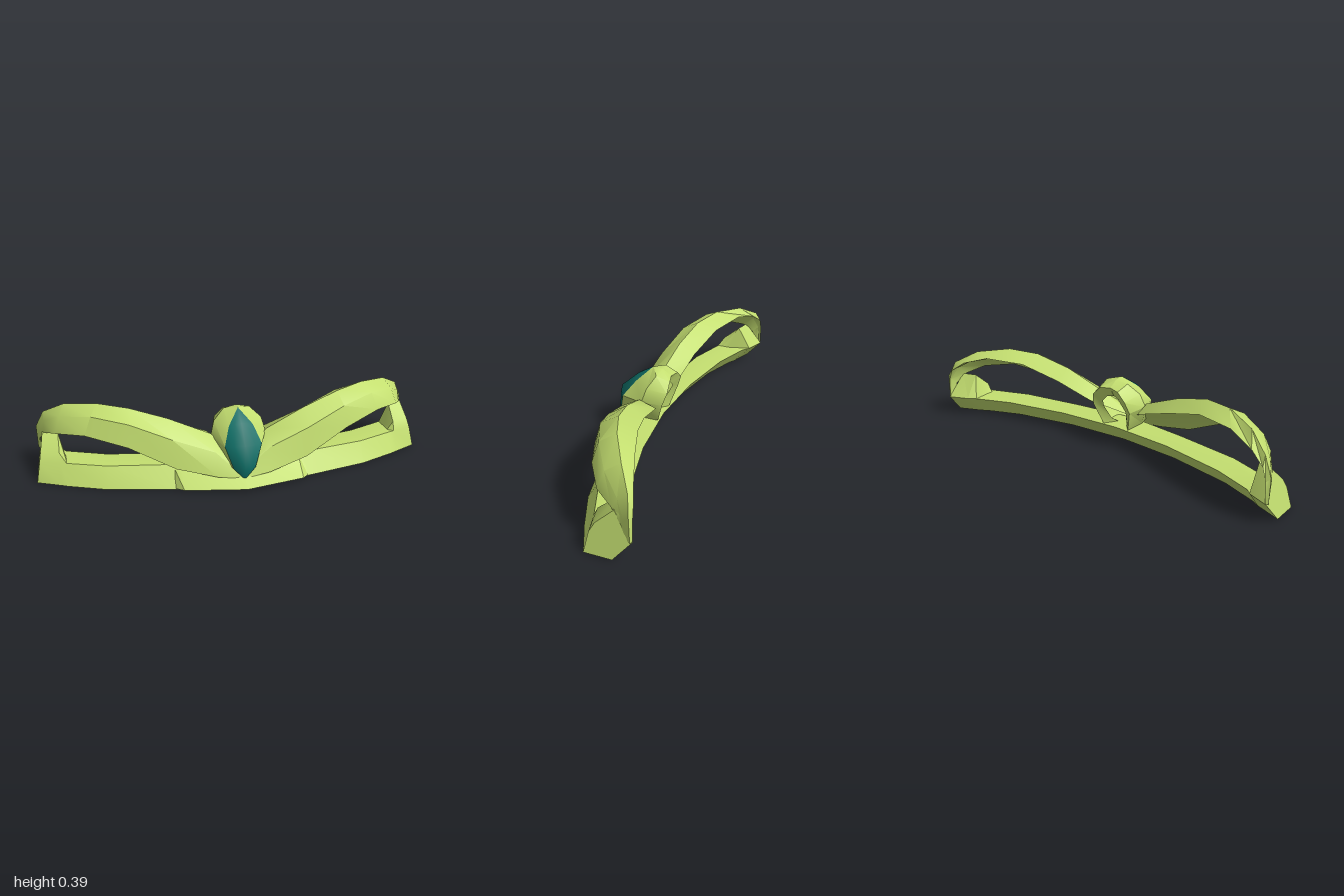
import * as THREE from 'three';
import { toCreasedNormals } from 'three/addons/utils/BufferGeometryUtils.js';

const flip = ([x, y, z]) => [-x, y, z];

// Skin a list of cross-sections; closed sections get end caps.
function loft(rows, closed, crease = 0.6) {
  const n = rows[0].length, index = [];
  const span = closed ? n : n - 1;
  for (let i = 0; i < rows.length - 1; i++) {
    for (let j = 0; j < span; j++) {
      const k = (j + 1) % n, a = i * n, b = a + n;
      index.push(a + j, b + j, a + k, b + j, b + k, a + k);
    }
  }
  if (closed) {
    const e = (rows.length - 1) * n;
    for (let j = 1; j < n - 1; j++) index.push(0, j, j + 1, e, e + j + 1, e + j);
  }
  const g = new THREE.BufferGeometry();
  g.setAttribute('position', new THREE.Float32BufferAttribute(rows.flat(2), 3));
  g.setIndex(index);
  return toCreasedNormals(g, crease);
}

// Sections given from the centre outwards, repeated on the other side.
const mirrorRows = (rows) => [...rows.slice(1).reverse().map((r) => r.map(flip)), ...rows];

export function createModel() {
  const group = new THREE.Group();
  const green = new THREE.MeshStandardMaterial({ color: 0xc4df70, side: THREE.DoubleSide });
  green.name = 'lime green';
  const teal = new THREE.MeshStandardMaterial({ color: 0x0f7068, side: THREE.DoubleSide });
  teal.name = 'deep teal';
  const add = (name, geometry, material) => {
    const mesh = new THREE.Mesh(geometry, material);
    mesh.name = name;
    group.add(mesh);
  };

  // Curved base bar: [x, front bottom z, front top z], then raised end blocks
  const low = [[0, 0.19, 0.13], [0.33, 0.165, 0.09], [0.66, 0.095, 0.035], [0.85, 0.02, -0.035]];
  const bar = low.map(([x, b, t]) => [
    [x, 0, b], [x, 0.1, t], [x, 0.1, t - 0.03], [x, 0.1, t - 0.07], [x, 0.095, b - 0.205], [x, 0, b - 0.13],
  ]);
  bar.push([[0.88, 0, 0.005], [0.88, 0.1, -0.045], [0.88, 0.145, -0.065],
    [0.88, 0.22, -0.15], [0.88, 0.1, -0.22], [0.88, 0, -0.13]]);
  bar.push([[0, -0.05], [0.1, -0.07], [0.145, -0.095], [0.22, -0.175], [0.1, -0.263], [0, -0.18]]
    .map(([y, z]) => [1 - 0.2 * y, y, z]));
  add('baseBar', loft(mirrorRows(bar), true, 0.5), green);

  // Pointed lip at the foot of the bar
  const lip = [
    [[0, 0.015, 0.265], [0, 0.098, 0.132], [0, 0.001, 0.16]],
    [[0.3, 0.015, 0.21], [0.3, 0.1, 0.094], [0.3, 0.001, 0.14]],
    [[0.335, 0.005, 0.165], [0.335, 0.09, 0.09], [0.335, 0.001, 0.13]],
  ];
  add('frontLip', loft(mirrorRows(lip), true, 0.4), green);

  // Arched wings: lower front edge, ridge, back edge, outward bulge
  const wing = [
    [[0, 0.045, 0.205], [0, 0.1, 0.18], [0, 0.1, 0.14], 0],
    [[0.13, 0.06, 0.195], [0.14, 0.235, 0.06], [0.15, 0.21, -0.033], 0.03],
    [[0.33, 0.11, 0.16], [0.35, 0.325, 0.03], [0.35, 0.275, -0.055], 0.035],
    [[0.55, 0.22, 0.105], [0.53, 0.378, -0.01], [0.55, 0.34, -0.11], 0.03],
    [[0.75, 0.265, 0.02], [0.68, 0.392, -0.07], [0.75, 0.35, -0.18], 0.025],
    [[0.89, 0.25, -0.07], [0.84, 0.367, -0.16], [0.88, 0.31, -0.23], 0.02],
    [[0.945, 0.22, -0.16], [0.945, 0.305, -0.232], [0.95, 0.26, -0.258], 0.01],
    [[0.972, 0.17, -0.21], [0.988, 0.22, -0.252], [0.97, 0.2, -0.262], 0.005],
    [[0.975, 0.1, -0.235], [0.988, 0.1, -0.255], [0.975, 0.1, -0.262], 0],
  ].map(([l, r, b, bulge]) => {
    const mid = l.map((v, i) => (v + r[i]) / 2);
    const inner = l.map((v, i) => 0.3 * v + 0.45 * r[i] + 0.25 * b[i]);
    return [l, [mid[0], mid[1] + bulge, mid[2] + bulge], r, b, inner];
  });
  add('wings', loft(mirrorRows(wing), true, 0.75), green);

  // Centre crest: gem centre, gem edge, hood side, hood back rim
  const crest = [
    [[0, 0.04, 0.208], [0, 0.04, 0.208], [0.02, 0.05, 0.17], [0.05, 0.06, 0.02]],
    [[0, 0.1, 0.223], [0.055, 0.1, 0.2], [0.085, 0.1, 0.1], [0.08, 0.1, -0.015]],
    [[0, 0.22, 0.211], [0.092, 0.21, 0.17], [0.14, 0.22, 0.05], [0.115, 0.21, -0.05]],
    [[0, 0.305, 0.12], [0.06, 0.29, 0.11], [0.12, 0.29, 0.03], [0.1, 0.27, -0.07]],
    [[0, 0.355, 0.04], [0, 0.355, 0.04], [0.065, 0.34, 0], [0.055, 0.315, -0.068]],
    [[0, 0.355, 0.04], [0, 0.355, 0.04], [0, 0.35, -0.01], [0, 0.32, -0.055]],
  ];
  const gem = crest.slice(0, 5).map(([c, e]) => {
    const half = [e[0] * 0.55, c[1] * 0.6 + e[1] * 0.4, c[2] * 0.65 + e[2] * 0.35];
    return [flip(e), flip(half), c, half, e];
  });
  add('crestGem', loft(gem, false, 0.9), teal);

  // Hood shell behind the gem with an inward-turned back rim
  const hood = crest.map(([, e, s, k]) => [
    e, s, k, [k[0] * 0.6, 0.17 + (k[1] - 0.17) * 0.65, k[2] + 0.03],
  ]);
  add('hoodLeft', loft(hood, false, 0.6), green);
  add('hoodRight', loft(hood.map((r) => r.map(flip).reverse()), false, 0.6), green);

  return group;
}
